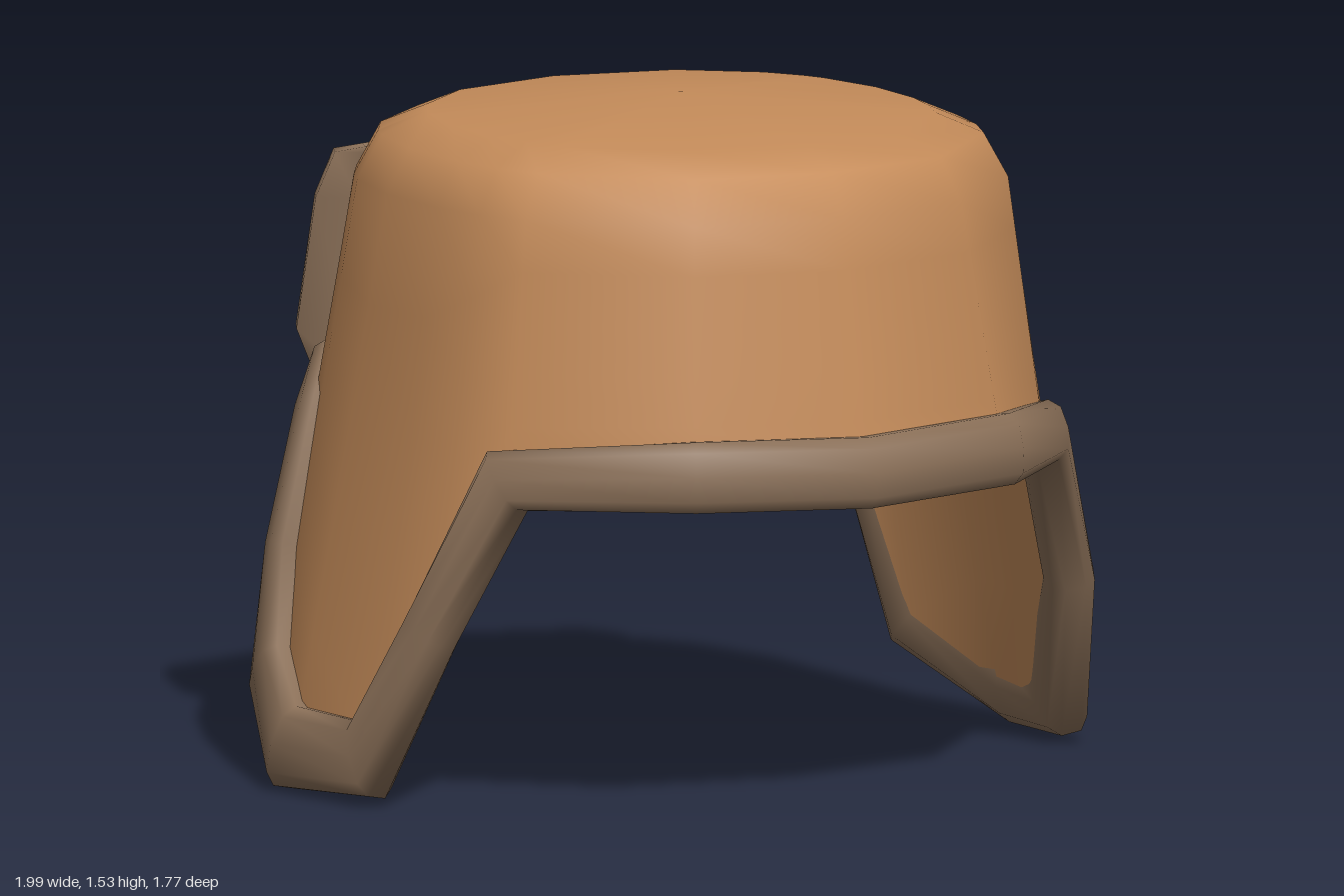
import * as THREE from 'three';
import { mergeVertices } from 'three/addons/utils/BufferGeometryUtils.js';

// Half-widths of the hat by height: [y, along x, along z], top to bottom
const PROFILE = [
  [1.53, 0, 0], [1.485, 0.55, 0.57], [1.44, 0.655, 0.68],
  [1.34, 0.71, 0.73], [0.8, 0.805, 0.822], [0.05, 0.95, 0.88],
];
const SQUARE = 2.2; // slightly squared oval
const power = (v, p) => Math.sign(v) * Math.pow(Math.abs(v), p);

function halfWidths(y) {
  let k = 0;
  while (k < PROFILE.length - 2 && y < PROFILE[k + 1][0]) k++;
  const a = PROFILE[k], b = PROFILE[k + 1];
  const f = (y - a[0]) / (b[0] - a[0]);
  return [a[1] + (b[1] - a[1]) * f, a[2] + (b[2] - a[2]) * f];
}

// Point on the hat wall at angle t (0 is the front) and height y
function wall(t, y, inset = 0) {
  const [rx, rz] = halfWidths(y).map((r) => Math.max(0, r - inset));
  return new THREE.Vector3(
    rx * power(Math.sin(t), 2 / SQUARE), y, rz * power(Math.cos(t), 2 / SQUARE));
}

const angleAt = (z, y) => Math.acos(power(z / halfWidths(y)[1], SQUARE / 2));

// Smooth surface through columns of points
function loft(columns, { wrapColumns = false, wrapRows = false, flip = false } = {}) {
  const n = columns.length, m = columns[0].length, index = [];
  for (let i = 0; i < (wrapColumns ? n : n - 1); i++) {
    for (let j = 0; j < (wrapRows ? m : m - 1); j++) {
      const i2 = (i + 1) % n, j2 = (j + 1) % m;
      const a = i * m + j, b = i * m + j2, c = i2 * m + j2, d = i2 * m + j;
      if (flip) index.push(a, c, b, a, d, c);
      else index.push(a, b, c, a, c, d);
    }
  }
  let geometry = new THREE.BufferGeometry().setFromPoints(columns.flat());
  geometry.setIndex(index);
  geometry = mergeVertices(geometry, 1e-4);
  geometry.computeVertexNormals();
  return geometry;
}

// Hem line as [angle, height, pinch inward, half height of the band]:
// brow, ear flap, nape; then mirrored
function hemLine() {
  const flap = [
    [0.435, 0.76, 0.025, 0.08], [0.31, 0.41, 0.01, 0.065], [0.15, 0.105, 0.04, 0.098],
    [-0.115, 0.1, 0, 0.1], [-0.37, 0.23, 0.015, 0.108], [-0.428, 0.5, 0.005, 0.068],
    [-0.43, 0.805, 0.02, 0.08], [-0.54, 0.865, 0.03, 0.085],
  ].map(([z, y, ...rest]) => [angleAt(z, y), y, ...rest]);
  const half = [
    [0, 0.78, 0, 0.083], [0.47, 0.79, -0.012, 0.083], ...flap,
    [2.65, 0.88, 0.07, 0.08], [Math.PI, 0.88, 0.06, 0.08]];
  const mirrored = half.slice(1, -1).reverse().map(([t, ...rest]) => [2 * Math.PI - t, ...rest]);
  return [...half, ...mirrored];
}

// Wall rows from height top down to the hem, pinching in gradually
function wallRows([t, hemY, pinch], top, inset) {
  return [0, 0.2, 0.4, 0.6, 0.8, 1].map((f) =>
    wall(t, THREE.MathUtils.lerp(top, hemY, f), inset + pinch * f));
}

// Crown and ear flaps in one surface
function outerShell(hem) {
  const columns = hem.map((h) => [
    ...PROFILE.slice(0, 3).map(([y]) => wall(h[0], y)), ...wallRows(h, 1.34, 0)]);
  return loft(columns, { wrapColumns: true });
}

// Inner wall with a flat ceiling
function liningShell(hem) {
  const ceiling = 1.33, inset = 0.055;
  const columns = hem.map((h) => [
    new THREE.Vector3(0, ceiling, 0), wall(h[0], ceiling, 0.1), ...wallRows(h, ceiling - 0.03, inset)]);
  return loft(columns, { wrapColumns: true, flip: true });
}

// Padded band following the hem
function hemBand(hem, halfThickness) {
  const points = hem.map(([t, y, pinch]) => wall(t, y, pinch));
  const n = points.length;
  const columns = points.map((p, i) => {
    const before = p.clone().sub(points[(i + n - 1) % n]).normalize();
    const after = points[(i + 1) % n].clone().sub(p).normalize();
    const along = before.add(after).normalize();
    const [t, y, , halfHeight] = hem[i];
    const across = wall(t + 0.02, y).sub(wall(t - 0.02, y));
    const down = wall(t, y - 0.02).sub(wall(t, y + 0.02));
    const out = down.cross(across).normalize();
    const side = along.clone().cross(out).normalize();
    const ring = [];
    for (let k = 0; k < 10; k++) {
      const a = (k / 10) * Math.PI * 2;
      ring.push(p.clone()
        .addScaledVector(out, halfThickness * power(Math.cos(a), 0.75))
        .addScaledVector(side, halfHeight * power(Math.sin(a), 0.75)));
    }
    return ring;
  });
  return loft(columns, { wrapColumns: true, wrapRows: true });
}

// Turned-up flap on the back, its ends sunk into the crown
function backFlap() {
  // Outline as [x, z, share of the full depth]
  const half = [[0.53, -0.57, 0.45], [0.62, -0.65, 1], [0.59, -0.705, 1]];
  const outline = [
    ...half, [0, -0.885, 1], ...half.slice().reverse().map(([x, z, share]) => [-x, z, share])];
  // Cross-section as [depth inward, height]
  const section = [
    [0.22, 1.33], [0.16, 1.37], [0.09, 1.355], [0.045, 1.25],
    [0, 0.95], [0.05, 0.83], [0.13, 0.785], [0.18, 0.83],
  ];
  const columns = outline.map(([x, z, share]) => {
    const r = Math.hypot(x, z);
    return section.map(([depth, y]) => {
      const s = (r - depth * share) / r;
      return new THREE.Vector3(x * s, y, z * s);
    });
  });
  return loft(columns);
}

export function createModel() {
  const cloth = new THREE.MeshStandardMaterial({ name: 'tan leather', color: 0xc58c5a });
  const fur = new THREE.MeshStandardMaterial({ name: 'grey brown fur', color: 0x8c7159 });

  const hat = new THREE.Group();
  hat.name = 'earFlapHat';
  const add = (name, geometry, material) => {
    const mesh = new THREE.Mesh(geometry, material);
    mesh.name = name;
    hat.add(mesh);
  };

  const hem = hemLine();
  add('crownAndEarFlaps', outerShell(hem), cloth);
  add('lining', liningShell(hem), cloth);
  add('furTrim', hemBand(hem, 0.058), fur);
  add('backFlap', backFlap(), fur);
  return hat;
}
